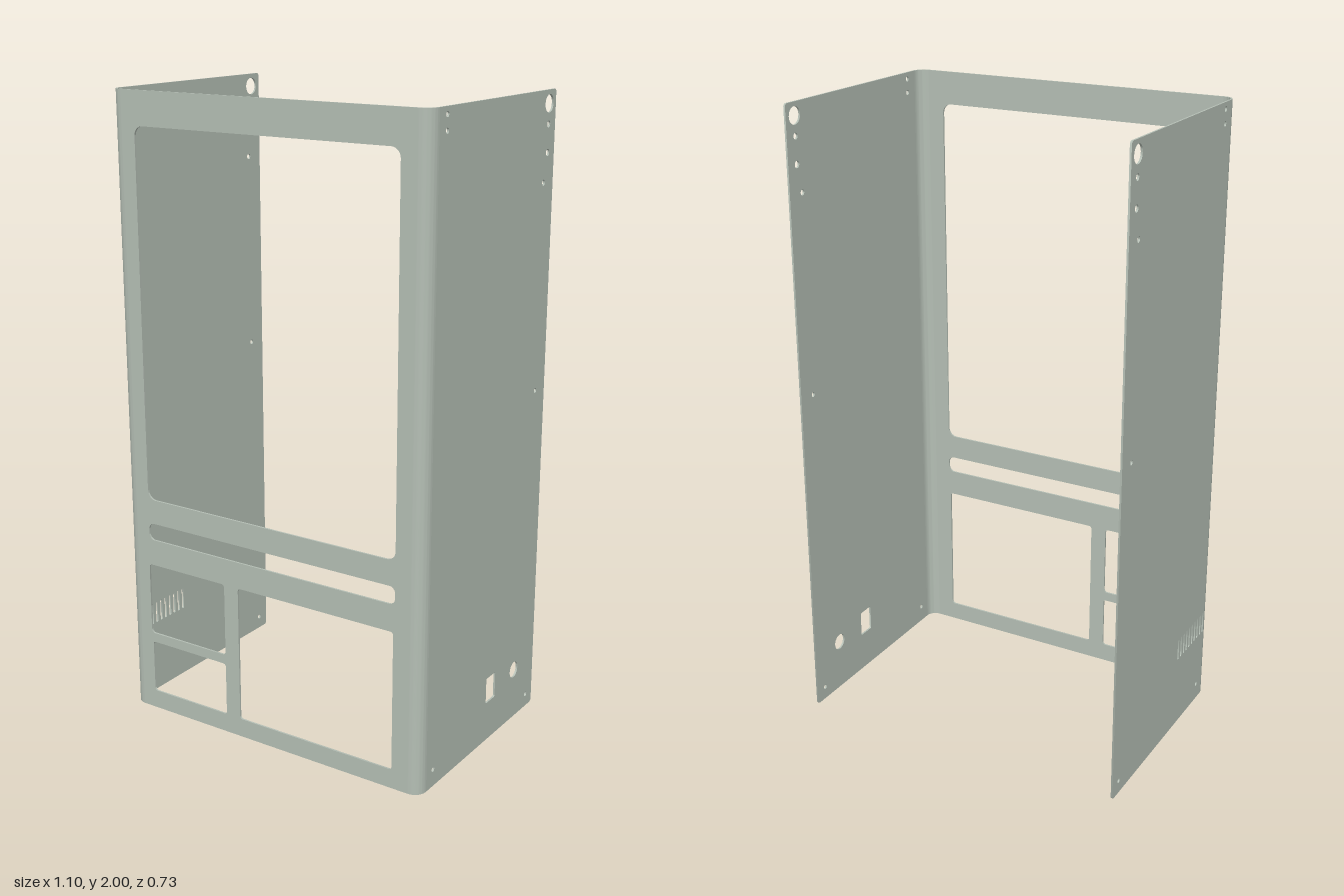
import * as THREE from 'three';
import { toCreasedNormals } from 'three/addons/utils/BufferGeometryUtils.js';

const W = 0.548, D = 0.363, H = 2, T = 0.006, R = 0.04; // half width, half depth, height, sheet, bend

// Rounded rectangle; r is one radius or [bottomLeft, bottomRight, topRight, topLeft]
function roundRect(path, x0, y0, x1, y1, r) {
  const [a, b, c, d] = Array.isArray(r) ? r : [r, r, r, r];
  const q = Math.PI / 2;
  const corner = (x, y, rad, start) => {
    if (rad > 0) path.absarc(x, y, rad, start, start + q, false);
    else path.lineTo(x, y);
  };
  path.moveTo(x0 + a, y0);
  corner(x1 - b, y0 + b, b, -q);
  corner(x1 - c, y1 - c, c, 0);
  corner(x0 + d, y1 - d, d, q);
  corner(x0 + a, y0 + a, a, 2 * q);
  path.closePath();
  return path;
}

const rectHole = (...args) => roundRect(new THREE.Path(), ...args);
const roundHole = (x, y, r) => new THREE.Path().absarc(x, y, r, 0, Math.PI * 2, false);

function sheet(shape, depth) {
  const geo = new THREE.ExtrudeGeometry(shape, { depth, bevelEnabled: false, curveSegments: 10 });
  return toCreasedNormals(geo, 0.6);
}

export function createModel() {
  const group = new THREE.Group();
  const metal = new THREE.MeshStandardMaterial({ color: 0xb4beb4 });
  const add = (name, geo) => {
    const mesh = new THREE.Mesh(geo, metal);
    mesh.name = name;
    group.add(mesh);
  };

  // Front panel with its five openings
  const front = roundRect(new THREE.Shape(), -W + R, 0, W - R, H, 0);
  front.holes.push(
    rectHole(-0.46, 0.73, 0.456, 1.896, 0.03),
    rectHole(-0.46, 0.594, 0.456, 0.65, 0.02),
    rectHole(-0.465, 0.268, -0.164, 0.508, 0.012),
    rectHole(-0.46, 0.061, -0.164, 0.237, 0.01),
    rectHole(-0.111, 0.061, 0.451, 0.508, 0.01),
  );
  add('frontPanel', sheet(front, T).translate(0, 0, D - T));

  // Side panels, drawn in z and y; both share the fixing holes
  const fixings = [
    [-0.321, 1.96, 0.027], [-0.321, 1.9, 0.01], [-0.321, 1.817, 0.011],
    [-0.302, 1.73, 0.009], [-0.302, 1.09, 0.008], [0.281, 1.979, 0.008],
    [0.281, 1.936, 0.008], [0.284, 0.056, 0.008], [-0.321, 0.043, 0.008],
  ];
  const sidePanel = (name, x, cutouts) => {
    const side = roundRect(new THREE.Shape(), -D, 0, D - R, H, [0.01, 0, 0, 0.01]);
    side.holes.push(...fixings.map((f) => roundHole(...f)), ...cutouts);
    add(name, sheet(side, T).rotateY(-Math.PI / 2).translate(x, 0, 0));
  };

  // Left side: power inlet and cable hole
  sidePanel('leftSidePanel', W, [
    rectHole(-0.1, 0.13, -0.041, 0.215, 0.005),
    roundHole(-0.228, 0.17, 0.027),
  ]);

  // Right side: row of vent slots
  const vents = [];
  for (let i = 0; i < 10; i++) {
    const z = 0.107 + i * 0.0225;
    vents.push(rectHole(z, 0.24, z + 0.01, 0.312, 0.004));
  }
  sidePanel('rightSidePanel', -W + T, vents);

  // Bent corners joining the front to the sides
  for (const s of [1, -1]) {
    const start = s > 0 ? -Math.PI / 2 : Math.PI;
    const cx = s * (W - R), cy = -(D - R);
    const bend = new THREE.Shape();
    bend.absarc(cx, cy, R, start, start + Math.PI / 2, false);
    bend.absarc(cx, cy, R - T, start + Math.PI / 2, start, true);
    bend.closePath();
    add(s > 0 ? 'leftCornerBend' : 'rightCornerBend', sheet(bend, H).rotateX(-Math.PI / 2));
  }
  return group;
}
